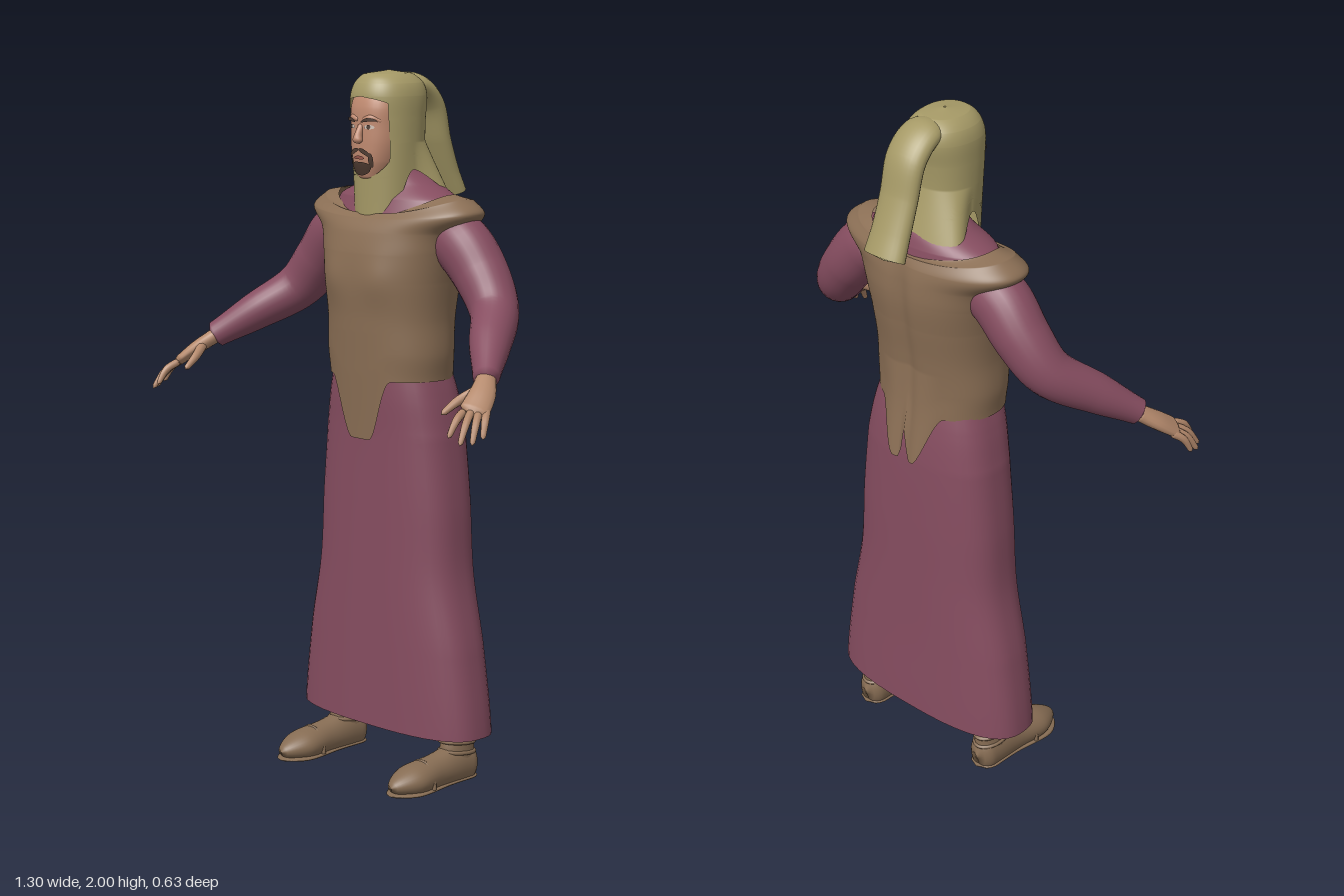
import * as THREE from 'three';
import { ParametricGeometry } from 'three/addons/geometries/ParametricGeometry.js';

const { clamp, lerp, smoothstep } = THREE.MathUtils;
const TAU = Math.PI * 2;

function material(name, color) {
  const m = new THREE.MeshStandardMaterial({ color, side: THREE.DoubleSide });
  m.name = name;
  return m;
}

// Smooth value of a row table at t (0..1); column 0 is linear, the others follow a cubic
function rowAt(rows, t) {
  const k = clamp(t, 0, 1) * (rows.length - 1);
  const i = Math.min(Math.floor(k), rows.length - 2), f = k - i;
  const get = (j) => rows[clamp(j, 0, rows.length - 1)];
  return rows[0].map((_, c) => {
    const [a, b, d, e] = [get(i - 1)[c], get(i)[c], get(i + 1)[c], get(i + 2)[c]];
    if (c === 0) return lerp(b, d, f);
    return b + 0.5 * f * (d - a + f * (2 * a - 5 * b + 4 * d - e + f * (3 * (b - d) + e - a)));
  });
}

// Horizontal cross-sections, rows of [y, halfWidth, zFront, zBack]; exponent squares them off
function loft(rows, { e = 2, slices = 48, stacks = 40, open = () => 0, shape = () => {} } = {}) {
  return new ParametricGeometry((u, v, p) => {
    const [y, w, zf, zb] = rowAt(rows, v);
    const a = open(v, y);
    const th = lerp(a, TAU - a, u), s = Math.sin(th), c = Math.cos(th);
    const r = (Math.abs(s) ** e + Math.abs(c) ** e) ** (-1 / e);
    p.set(w * s * r, y, (zf + zb) / 2 + ((zf - zb) / 2) * c * r);
    shape(p, v, th);
  }, slices, stacks);
}

// Sweep of ellipses along points [x, y, z, halfWidth, halfThickness], rounded at the ends
function sweep(points, side, { slices = 16, stacks = 24, start = 0.1, end = 0.1, floor = -1 } = {}) {
  const curve = new THREE.CatmullRomCurve3(points.map((q) => new THREE.Vector3(q[0], q[1], q[2])));
  const S = new THREE.Vector3(), T = new THREE.Vector3(), N = new THREE.Vector3();
  const round = (d, len) => (len && d < len ? Math.sqrt(Math.max(0, 1 - (1 - d / len) ** 2)) : 1);
  return new ParametricGeometry((u, v, p) => {
    v = clamp(v, 0, 1);
    const [, w, h] = rowAt(points.map((q) => [0, q[3], q[4]]), v);
    const k = Math.max(0.03, round(v, start) * round(1 - v, end));
    curve.getTangent(v, T);
    N.crossVectors(side, T).normalize();
    S.crossVectors(T, N);
    curve.getPoint(v, p);
    p.addScaledVector(S, Math.sin(u * TAU) * w * k).addScaledVector(N, Math.cos(u * TAU) * h * k);
    p.y = Math.max(p.y, floor);
  }, slices, stacks);
}

const HEAD = [
  [1.69, 0.025, 0.04, -0.04], [1.71, 0.048, 0.056, -0.08], [1.75, 0.066, 0.067, -0.1],
  [1.8, 0.078, 0.069, -0.11], [1.85, 0.082, 0.068, -0.12], [1.9, 0.082, 0.066, -0.12],
  [1.94, 0.07, 0.052, -0.11], [1.97, 0.04, 0.02, -0.08],
];
const HEAD_E = 2.4;

function faceZ(x, y) {
  let i = 0;
  while (i < HEAD.length - 2 && y > HEAD[i + 1][0]) i++;
  const f = (y - HEAD[i][0]) / (HEAD[i + 1][0] - HEAD[i][0]);
  const [, w, zf, zb] = rowAt(HEAD, (i + f) / (HEAD.length - 1));
  return (zf + zb) / 2 + ((zf - zb) / 2) * Math.max(0, 1 - Math.abs(x / w) ** HEAD_E) ** (1 / HEAD_E);
}

// Thin lens-shaped patch lying on the face
function facePatch(cx, cy, w, h, bend = 0, lift = 0.003, slant = 0) {
  return new ParametricGeometry((u, v, p) => {
    const a = 2 * u - 1, b = 2 * v - 1;
    const x = cx + w * a;
    const y = cy - bend * a * a + slant * a + h * b * Math.sqrt(Math.max(0.01, 1 - a * a));
    p.set(x, y, faceZ(x, y) + lift);
  }, 12, 4);
}

export function createModel() {
  const model = new THREE.Group();
  const robe = material('burgundy cloth', 0x864d60);
  const leather = material('brown leather', 0x8b6f55);
  const shoeMat = material('shoe brown', 0x866c53);
  const cloth = material('olive head cloth', 0xa59966);
  const face = material('face skin', 0xc08a70);
  const handMat = material('hand skin', 0xb4896c);
  const hair = material('dark hair', 0x4f3c32);
  const lip = material('lips', 0x96574c);
  const white = material('eye white', 0xcfc0b4);
  const add = (name, geometry, mat, parent = model) => {
    const mesh = new THREE.Mesh(geometry, mat);
    mesh.name = name;
    parent.add(mesh);
    return mesh;
  };
  const X = new THREE.Vector3(1, 0, 0);

  // Long robe, open at the hem, and its yoke at the neck
  add('robeSkirt', loft([
    [0.145, 0.337, 0.055, -0.208], [0.4, 0.303, 0.055, -0.204], [0.6, 0.26, 0.055, -0.203],
    [0.8, 0.245, 0.055, -0.203], [1.0, 0.223, 0.056, -0.2], [1.1, 0.202, 0.06, -0.19], [1.22, 0.17, 0.06, -0.17],
  ], { e: 2.7 }), robe);
  add('robeYoke', loft([
    [1.57, 0.23, 0.05, -0.2], [1.65, 0.205, 0.025, -0.19], [1.69, 0.125, 0.0, -0.175], [1.73, 0.065, -0.01, -0.14],
  ]), robe);

  // Vest with flared shoulders, dipping neckline and hanging tabs front and back
  add('vest', loft([
    [1.15, 0.192, 0.086, -0.195], [1.22, 0.199, 0.09, -0.193], [1.32, 0.196, 0.096, -0.203],
    [1.42, 0.206, 0.104, -0.218], [1.5, 0.222, 0.098, -0.228], [1.56, 0.245, 0.083, -0.226],
    [1.615, 0.302, 0.062, -0.217], [1.655, 0.26, 0.045, -0.205], [1.665, 0.205, 0.03, -0.19],
  ], {
    e: 2.2, slices: 120, stacks: 80,
    shape: (p, v, th) => {
      const c = Math.cos(th), x = Math.abs(p.x);
      const f = Math.max(0, 1 - v / 0.2);
      // neckline dip
      p.y -= smoothstep(v, 0.6, 1) * (c > 0 ? 0.06 : 0.035) * c * c;
      // chest, ribs and spine furrow
      if (c > 0) p.z += c * 0.007 * Math.exp(-(((x - 0.09) / 0.05) ** 2) - ((p.y - 1.43) / 0.06) ** 2);
      else p.z += 0.014 * Math.exp(-((x / 0.03) ** 2)) * (1 - smoothstep(v, 0.5, 0.9));
      // hanging tabs, the rear one split
      let drop = 1 - smoothstep(x, 0.035, 0.115);
      if (c > 0) p.z -= 0.015 * f * drop;
      else {
        p.z -= 0.03 * f * drop;
        drop *= 0.88 * (0.4 + 0.6 * smoothstep(x, 0, 0.016));
      }
      p.y -= 0.172 * drop * f;
    },
  }), leather);

  // Arms, hands, legs and shoes
  for (const s of [1, -1]) {
    const tag = s > 0 ? 'left' : 'right';
    const at = (pts) => pts.map(([x, ...rest]) => [x * s, ...rest]);
    const arm = new THREE.Group();
    arm.name = tag + 'Arm';
    model.add(arm);
    add(tag + 'Sleeve', sweep(at([
      [0.18, 1.56, -0.085, 0.08, 0.075], [0.245, 1.53, -0.085, 0.085, 0.08], [0.32, 1.45, -0.085, 0.078, 0.077],
      [0.39, 1.365, -0.06, 0.068, 0.068], [0.47, 1.29, 0.04, 0.055, 0.057], [0.555, 1.213, 0.145, 0.037, 0.034],
    ]), new THREE.Vector3(s, 1, 0.2), { slices: 24, stacks: 40, end: 0.02 }), robe, arm);

    const across = new THREE.Vector3(0.55 * s, 0, -0.8).normalize();
    add(tag + 'Palm', sweep(at([
      [0.54, 1.225, 0.125, 0.026, 0.022], [0.575, 1.185, 0.18, 0.036, 0.02], [0.598, 1.145, 0.238, 0.04, 0.014],
    ]), across), handMat, arm);
    const tips = [[0.587, 1.09, 0.317], [0.62, 1.073, 0.309], [0.638, 1.073, 0.282], [0.644, 1.085, 0.248]];
    tips.forEach(([x, y, z], i) => {
      const d = (i - 1.5) * 0.021;
      const k = [0.592 + d * 0.55, 1.152, 0.222 - d * 0.8];
      add(tag + 'Finger' + (i + 1), sweep(at([
        [...k, 0.011, 0.011],
        [(k[0] + x) / 2 + 0.004, (k[1] + y) / 2 + 0.01, (k[2] + z) / 2 + 0.004, 0.0105, 0.0105],
        [x, y, z, 0.007, 0.007],
      ]), across, { slices: 10, stacks: 14 }), handMat, arm);
    });
    add(tag + 'Thumb', sweep(at([
      [0.56, 1.2, 0.165, 0.015, 0.015], [0.53, 1.17, 0.22, 0.013, 0.013], [0.517, 1.137, 0.272, 0.008, 0.008],
    ]), across, { slices: 10, stacks: 14 }), handMat, arm);

    const foot = new THREE.Group();
    foot.name = tag + 'Foot';
    foot.position.x = 0.228 * s;
    model.add(foot);
    add(tag + 'Shoe', sweep([
      [0, 0.04, -0.157, 0.043, 0.06], [0, 0.045, -0.08, 0.046, 0.062], [0, 0.04, 0, 0.048, 0.052],
      [0, 0.036, 0.09, 0.058, 0.044], [0, 0.03, 0.172, 0.045, 0.034],
    ], X, { slices: 28, stacks: 36, start: 0.12, end: 0.3, floor: 0.003 }), shoeMat, foot);
    add(tag + 'Sole', sweep([
      [0, 0.008, -0.158, 0.045, 0.008], [0, 0.008, -0.03, 0.046, 0.008],
      [0, 0.008, 0.09, 0.061, 0.008], [0, 0.008, 0.174, 0.047, 0.008],
    ], X, { stacks: 30, start: 0.12, end: 0.3, floor: 0 }), shoeMat, foot);
    add(tag + 'Ankle', loft([
      [0.04, 0.044, -0.03, -0.152], [0.1, 0.039, -0.035, -0.15], [0.15, 0.037, -0.045, -0.148],
      [0.25, 0.042, -0.04, -0.15], [0.45, 0.05, -0.035, -0.15],
    ], { slices: 24, stacks: 16 }), shoeMat, foot);
    // ankle straps and instep strap
    for (const y of [0.085, 0.115]) {
      const strap = add(tag + 'AnkleStrap', new THREE.TorusGeometry(0.04, 0.006, 8, 28), shoeMat, foot);
      strap.rotation.x = Math.PI / 2 - 0.12;
      strap.scale.y = 1.42;
      strap.position.set(0, y, -0.092);
    }
    const instep = add(tag + 'InstepStrap', new THREE.TorusGeometry(0.052, 0.006, 8, 24, Math.PI), shoeMat, foot);
    instep.scale.y = 1.33;
    instep.position.set(0, 0.012, 0.05);
  }

  // Head and face
  const head = new THREE.Group();
  head.name = 'head';
  model.add(head);
  add('face', loft(HEAD, { e: HEAD_E }), face, head);
  add('neck', new THREE.CylinderGeometry(0.05, 0.06, 0.14, 24).translate(0, 1.7, -0.05), face, head);
  add('nose', sweep([
    [0, 1.855, 0.062, 0.009, 0.008], [0, 1.825, 0.074, 0.011, 0.012], [0, 1.802, 0.08, 0.018, 0.014],
  ], X, { end: 0.3 }), face, head);
  for (const s of [1, -1]) {
    add('browRidge', sweep([
      [0.008 * s, 1.866, 0.064, 0.007, 0.007], [0.034 * s, 1.873, 0.06, 0.008, 0.008], [0.06 * s, 1.862, 0.04, 0.006, 0.006],
    ], new THREE.Vector3(0, 1, 0)), face, head);
    add('eyebrow', facePatch(0.034 * s, 1.868, 0.023, 0.005, 0.005, 0.009, 0.002 * s), hair, head);
    add('eye', facePatch(0.033 * s, 1.848, 0.015, 0.006, 0.001, 0.003), white, head);
    add('pupil', facePatch(0.033 * s, 1.848, 0.006, 0.006, 0, 0.005), hair, head);
    add('moustacheSide', facePatch(0.022 * s, 1.779, 0.022, 0.007, 0.004, 0.006, -0.011 * s), hair, head);
    add('moustacheEnd', facePatch(0.037 * s, 1.757, 0.006, 0.02, 0, 0.005), hair, head);
  }
  add('mouth', facePatch(0, 1.764, 0.02, 0.005, 0.002, 0.005), lip, head);
  add('chinBeard', facePatch(0, 1.733, 0.036, 0.019, -0.006, 0.006), hair, head);

  // Head cloth with a face opening, a front bib and a flared back drape
  add('headCloth', loft([
    [1.73, 0.1, 0.05, -0.14], [1.8, 0.1, 0.055, -0.138], [1.87, 0.1, 0.062, -0.142], [1.93, 0.098, 0.066, -0.15],
    [1.965, 0.086, 0.055, -0.14], [1.99, 0.058, 0.03, -0.11], [2.0, 0.003, -0.04, -0.046],
  ], {
    e: 2.2, slices: 64, stacks: 120,
    open: (v, y) => {
      const yc = y - 0.13 * Math.max(0, 1 - v / 0.18);
      return 0.82 * Math.sqrt(clamp((1.928 - yc) / 0.015, 0, 1) * clamp((yc - 1.705) / 0.05, 0, 1));
    },
    shape: (p, v, th) => {
      const c = Math.cos(th), f = Math.max(0, 1 - v / 0.18);
      if (c > 0) {
        p.y -= 0.13 * f * smoothstep(c, 0.05, 0.75);
        p.x *= 1 - 0.12 * f * c;
      } else {
        const b = smoothstep(-c, 0, 0.6);
        p.y -= 0.07 * f * b;
        p.x *= 1 + 0.6 * f * b;
        p.z -= 0.045 * f * b;
      }
    },
  }), cloth, head);
  add('headClothTail', sweep([
    [0, 1.955, -0.06, 0.05, 0.035], [0, 1.955, -0.13, 0.062, 0.035], [0, 1.905, -0.187, 0.064, 0.035],
    [-0.003, 1.8, -0.222, 0.062, 0.033], [-0.006, 1.715, -0.255, 0.063, 0.034], [-0.008, 1.645, -0.286, 0.068, 0.036],
  ], X, { slices: 28, stacks: 40, start: 0.2, end: 0.015 }), cloth, head);

  return model;
}
